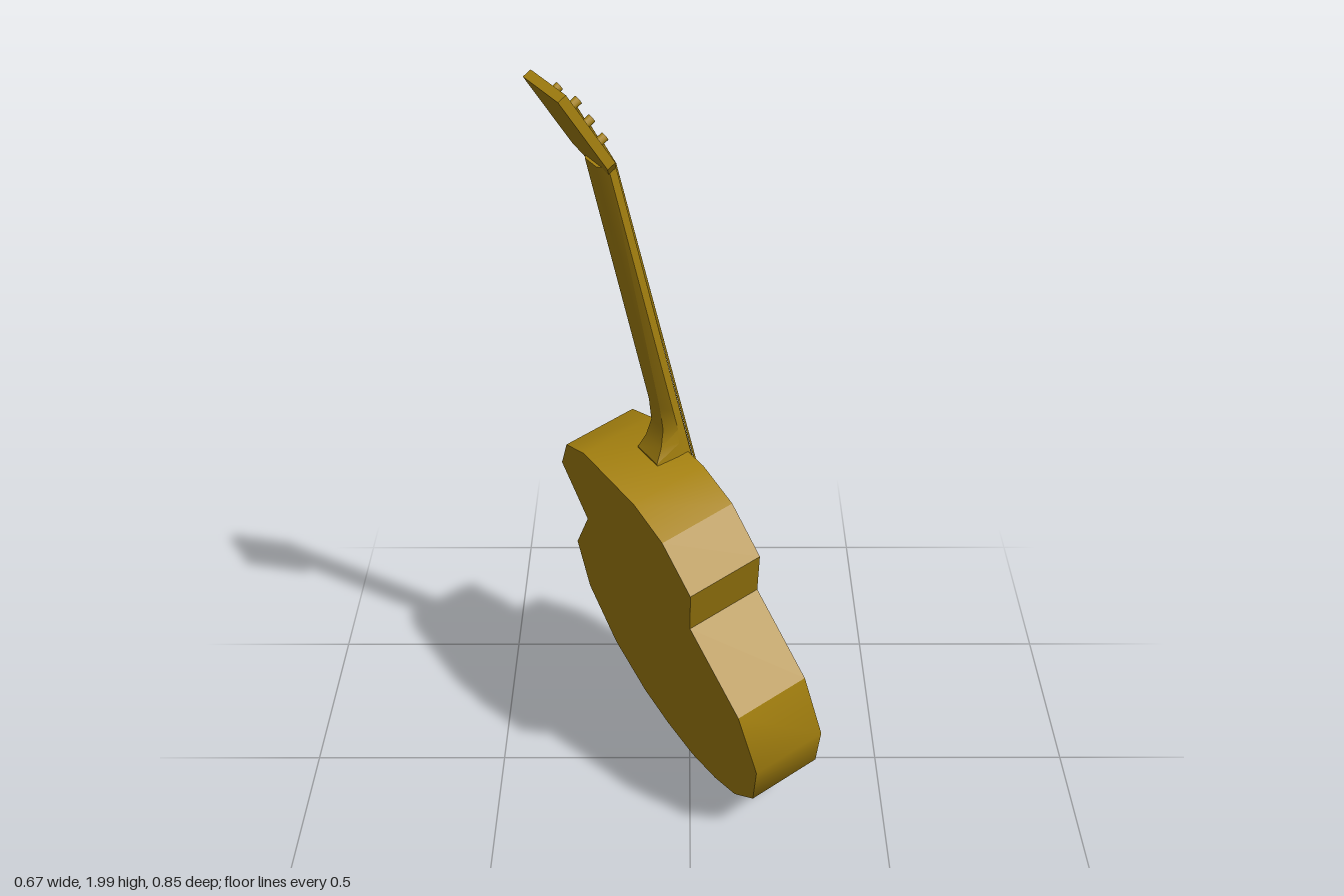
import * as THREE from 'three';
import { toCreasedNormals } from 'three/addons/utils/BufferGeometryUtils.js';

const wood = new THREE.MeshStandardMaterial({ color: 0xaa8510 });
const shell = new THREE.MeshStandardMaterial({ color: 0xaa8510, side: THREE.DoubleSide });

const BACK = 0.015, FRONT = 0.207;      // depth of the body
const NUT_Y = 1.807, NECK_Z = 0.214;    // where the head meets the neck
const TILT = 0.33;                      // head leaning back

// Skin over matching rings of [x, y, z] points
function loft(rings, capped) {
  const n = rings[0].length, index = [];
  for (let r = 0; r < rings.length - 1; r++) {
    for (let i = 0; i < n; i++) {
      const a = r * n + i, b = r * n + (i + 1) % n;
      index.push(a, b, b + n, a, b + n, a + n);
    }
  }
  if (capped) {
    const e = (rings.length - 1) * n;
    for (let k = 1; k < n - 1; k++) index.push(0, k + 1, k, e, e + k, e + k + 1);
  }
  const geo = new THREE.BufferGeometry();
  geo.setAttribute('position', new THREE.Float32BufferAttribute(rings.flat(2), 3));
  geo.setIndex(index);
  geo.computeVertexNormals();
  return toCreasedNormals(geo, 0.55);
}

function add(parent, name, geometry, material = wood) {
  const mesh = new THREE.Mesh(geometry, material);
  mesh.name = name;
  parent.add(mesh);
  return mesh;
}

// Thin round bar between two points
function rod(parent, name, a, b, radius) {
  const dir = b.clone().sub(a);
  const mesh = add(parent, name, new THREE.CylinderGeometry(radius, radius, dir.length(), 6));
  mesh.position.copy(a).addScaledVector(dir, 0.5);
  mesh.quaternion.setFromUnitVectors(new THREE.Vector3(0, 1, 0), dir.normalize());
}

function buildBody(g) {
  // Right half of the outline from bottom to top, then mirrored
  const half = [[0.125, 0.02], [0.237, 0.061], [0.358, 0.161], [0.43, 0.329], [0.41, 0.515],
    [0.258, 0.704], [0.32, 0.86], [0.237, 0.972], [0.124, 1.015]];
  const outline = [[0, 0.002], ...half, ...half.map(([x, y]) => [-x, y]).reverse()];
  add(g, 'bodySides', loft([BACK, FRONT].map(z => outline.map(([x, y]) => [x, y, z]))), shell);

  const points = () => outline.map(([x, y]) => new THREE.Vector2(x, y));
  add(g, 'bodyBack', new THREE.ShapeGeometry(new THREE.Shape(points())), shell).position.z = BACK;
  const top = new THREE.Shape(points());
  top.holes.push(new THREE.Path().absarc(0, 0.711, 0.134, 0, Math.PI * 2, true));
  add(g, 'soundboard', new THREE.ShapeGeometry(top, 24), shell).position.z = FRONT;
}

function buildNeck(g) {
  // Each section: height, lower edge of the sides, back, half width of the back
  const sections = [[0.836, 0.18, 0.125, 0.05], [1.02, 0.18, 0.125, 0.046], [1.05, 0.19, 0.15, 0.036],
    [1.09, 0.197, 0.17, 0.028], [1.15, 0.197, 0.177, 0.026], [NUT_Y + 0.006, 0.197, 0.182, 0.026]];
  const w = 0.0525;
  add(g, 'neck', loft(sections.map(([y, m, b, h]) => [
    [-w, y, NECK_Z], [w, y, NECK_Z], [w, y, m], [h, y, b], [-h, y, b], [-w, y, m]]), true));
}

function buildHead(g) {
  const head = new THREE.Group();
  head.name = 'head';
  head.position.set(0, NUT_Y, NECK_Z);
  head.rotation.x = -TILT;
  g.add(head);
  const shape = new THREE.Shape([[-0.0525, 0], [0.0525, 0], [0.08, 0.03], [0.079, 0.232],
    [-0.079, 0.232], [-0.08, 0.03]].map(([x, y]) => new THREE.Vector2(x, y)));
  const plate = new THREE.ExtrudeGeometry(shape, { depth: 0.022, bevelEnabled: false });
  add(head, 'headPlate', plate).position.z = -0.022;
  // Two rows of three tuning posts
  for (const side of [-1, 1]) {
    for (let i = 0; i < 3; i++) {
      const post = add(head, 'tuningPost', new THREE.CylinderGeometry(0.01, 0.01, 0.022, 10));
      post.rotation.x = Math.PI / 2;
      post.position.set(side * 0.042, 0.07 + i * 0.055, 0.011);
    }
  }
}

function buildBridge(g) {
  add(g, 'bridge', new THREE.BoxGeometry(0.336, 0.048, 0.018)).position.set(0, 0.392, FRONT + 0.009);
  // Half-round plate under the bridge
  const shape = new THREE.Shape().absellipse(0, 0.372, 0.118, 0.066, Math.PI, Math.PI * 2, false);
  const plate = new THREE.ExtrudeGeometry(shape, { depth: 0.01, bevelEnabled: false, curveSegments: 16 });
  add(g, 'bridgePlate', plate).position.z = FRONT;
}

function buildStrings(g) {
  for (let i = 0; i < 6; i++) {
    const s = i - 2.5, side = Math.sign(s);
    const start = new THREE.Vector3(s * 0.017, 0.365, FRONT + 0.02);
    const nut = new THREE.Vector3(s * 0.015, NUT_Y, NECK_Z + 0.006);
    // Outer strings go to the lowest posts, inner ones to the highest
    const t = 0.07 + (2.5 - Math.abs(s)) * 0.055;
    const post = new THREE.Vector3(side * 0.036, NUT_Y + t * Math.cos(TILT) + 0.003,
      NECK_Z - t * Math.sin(TILT) + 0.01);
    rod(g, 'string', start, nut, 0.0028);
    rod(g, 'stringEnd', nut, post, 0.0028);
    // Pin holding the string at the bridge
    rod(g, 'bridgePin', start.clone().setZ(FRONT), start.clone().setZ(FRONT + 0.026), 0.006);
  }
}

export function createModel() {
  const guitar = new THREE.Group();
  guitar.name = 'guitar';
  buildBody(guitar);
  buildNeck(guitar);
  buildHead(guitar);
  buildBridge(guitar);
  buildStrings(guitar);

  // Lean the instrument back and turn it
  const up = new THREE.Vector3(-0.205, 1, 0.158).normalize();
  const across = new THREE.Vector3(-0.506, 0.0325, -0.862).normalize();
  const out = across.clone().cross(up).normalize();
  guitar.quaternion.setFromRotationMatrix(new THREE.Matrix4().makeBasis(out.clone().cross(up).negate(), up, out));
  guitar.position.copy(across).multiplyScalar(0.009);

  const model = new THREE.Group();
  model.name = 'leaningGuitar';
  model.add(guitar);
  return model;
}
